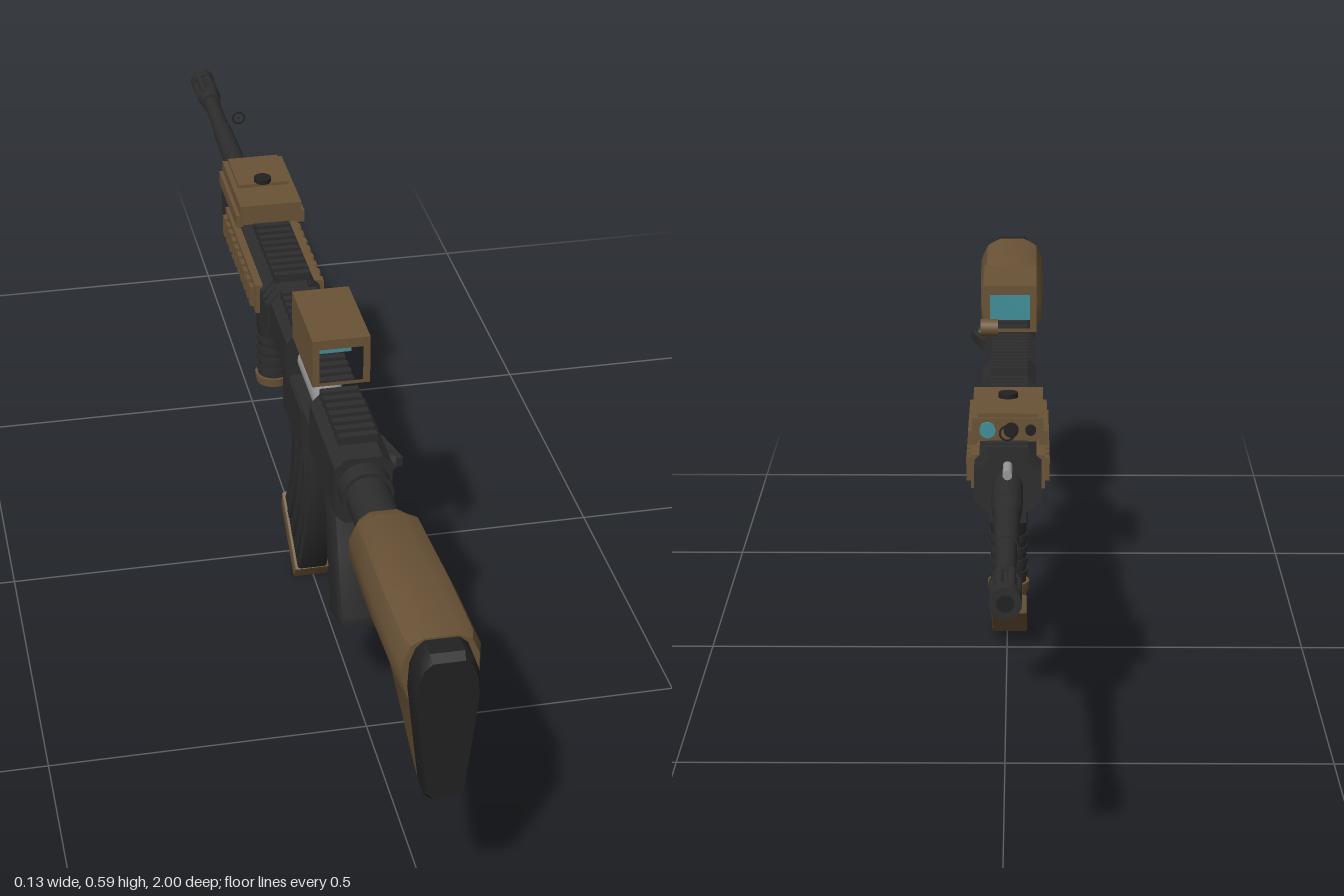
import * as THREE from 'three';
import { toCreasedNormals } from 'three/addons/utils/BufferGeometryUtils.js';

const mat = (name, color, side = THREE.FrontSide) => {
  const m = new THREE.MeshStandardMaterial({ color, side });
  m.name = name;
  return m;
};

export function createModel() {
  const dark = mat('gunmetal', 0x2d2d2e);
  const black = mat('black rubber', 0x212122, THREE.DoubleSide);
  const tan = mat('tan polymer', 0x6a5337);
  const steel = mat('steel', 0x97979a);
  const teal = mat('teal glass', 0x41909a, THREE.DoubleSide);

  const model = new THREE.Group();
  model.name = 'rifle';
  const body = new THREE.Group();
  body.name = 'body';
  body.position.x = -0.004;
  model.add(body);

  const add = (name, geo, material) => {
    const m = new THREE.Mesh(geo, material);
    m.name = name;
    body.add(m);
    return m;
  };
  // box given by its limits on each axis
  const box = (name, material, x0, x1, y0, y1, z0, z1) =>
    add(name, new THREE.BoxGeometry(x1 - x0, y1 - y0, z1 - z0), material)
      .position.set((x0 + x1) / 2, (y0 + y1) / 2, (z0 + z1) / 2);
  // round bar along z, radius r0 at z0 and r1 at z1
  const rod = (name, material, x, y, z0, z1, r0, r1 = r0) =>
    add(name, new THREE.CylinderGeometry(r1, r0, z1 - z0, 20).rotateX(Math.PI / 2), material)
      .position.set(x, y, (z0 + z1) / 2);
  // side profile of [z, y] points, extruded across x with a bevel
  const slab = (name, material, pts, half, bevel = 0) => {
    const shape = new THREE.Shape(pts.map(p => new THREE.Vector2(p[0], p[1])));
    const geo = new THREE.ExtrudeGeometry(shape, {
      depth: 2 * (half - bevel), bevelEnabled: bevel > 0, bevelThickness: bevel,
      bevelSize: bevel, bevelOffset: -bevel, bevelSegments: 2,
    });
    geo.translate(0, 0, bevel - half).rotateY(-Math.PI / 2);
    return add(name, toCreasedNormals(geo, 0.6), material);
  };
  // closed solid through cross-sections, z rising, points counter-clockwise
  const loft = (name, material, sections, crease = 0.6) => {
    const pos = [];
    const n = sections[0].pts.length;
    const put = (s, j) => pos.push(s.pts[j % n][0], s.pts[j % n][1], s.z);
    for (let i = 0; i + 1 < sections.length; i++) {
      const a = sections[i], b = sections[i + 1];
      for (let j = 0; j < n; j++) {
        put(a, j); put(a, j + 1); put(b, j + 1);
        put(a, j); put(b, j + 1); put(b, j);
      }
    }
    const first = sections[0], last = sections[sections.length - 1];
    for (let j = 1; j + 1 < n; j++) {
      put(first, 0); put(first, j + 1); put(first, j);
      put(last, 0); put(last, j); put(last, j + 1);
    }
    const geo = new THREE.BufferGeometry();
    geo.setAttribute('position', new THREE.Float32BufferAttribute(pos, 3));
    return add(name, toCreasedNormals(geo, crease), material);
  };
  // full outline from its right half, bottom to top
  const mirror = half => [...half, ...half.map(([x, y]) => [-x, y]).reverse()];
  // chamfered block running along z
  const bar = (name, material, w, y0, y1, c, z0, z1) => {
    const pts = mirror([[w - c, y0], [w, y0 + c], [w, y1 - c], [w - c, y1]]);
    return loft(name, material, [{ z: z0, pts }, { z: z1, pts }]);
  };

  // Shoulder stock: wide rounded cheek tube over a thinner blade
  const stock = (z, top, bottom, w, blade) => ({
    z, pts: mirror([[blade * 0.6, bottom], [blade, bottom + 0.012],
      [blade + 0.012, Math.max(top - 0.11, bottom + 0.014)], [w, top - 0.065],
      [w, top - 0.035], [w * 0.8, top - 0.01], [w * 0.45, top]]),
  });
  loft('stock', tan, [
    stock(0.605, 0.476, 0.398, 0.044, 0.027), stock(0.63, 0.485, 0.385, 0.056, 0.03),
    stock(0.8, 0.497, 0.325, 0.06, 0.028), stock(0.935, 0.505, 0.268, 0.06, 0.029),
    stock(0.957, 0.505, 0.262, 0.053, 0.029),
  ]);
  const pad = (z, s) => ({
    z, pts: mirror([[0.019, 0.258], [0.028, 0.268], [0.035, 0.33], [0.046, 0.43],
      [0.044, 0.468], [0.036, 0.491], [0.024, 0.502]])
      .map(([x, y]) => [x * s, 0.38 + (y - 0.38) * s]),
  });
  loft('buttPad', black, [pad(0.957, 1), pad(0.988, 1), pad(1, 0.93)]);
  rod('bufferTube', dark, 0, 0.436, 0.46, 0.62, 0.034);
  rod('bufferCollar', dark, 0, 0.436, 0.47, 0.505, 0.04);

  // Receiver with the exposed bolt between its two blocks
  bar('rearReceiver', dark, 0.044, 0.372, 0.484, 0.016, 0.283, 0.475);
  bar('frontReceiver', dark, 0.044, 0.39, 0.485, 0.016, -0.04, 0.095);
  bar('receiverFloor', dark, 0.038, 0.398, 0.41, 0.003, 0.08, 0.29);
  rod('bolt', steel, 0, 0.436, 0.09, 0.29, 0.026);
  bar('magazineWell', dark, 0.04, 0.318, 0.408, 0.006, 0.042, 0.203);
  const knob = add('leverPivot', new THREE.CylinderGeometry(0.016, 0.018, 0.016, 20).rotateZ(-Math.PI / 2), dark);
  knob.position.set(0.05, 0.44, 0.425);
  const lever = add('lever', new THREE.BoxGeometry(0.012, 0.016, 0.07), dark);
  lever.position.set(0.056, 0.44, 0.395);
  lever.rotation.y = 0.25;

  // Pistol grip with finger grooves
  slab('pistolGrip', dark, [[0.425, 0.378], [0.335, 0.378], [0.335, 0.355], [0.35, 0.33], [0.352, 0.31],
    [0.366, 0.285], [0.366, 0.262], [0.381, 0.238], [0.381, 0.215], [0.394, 0.19], [0.39, 0.152],
    [0.482, 0.18], [0.486, 0.2], [0.45, 0.3], [0.435, 0.345]], 0.036, 0.012);

  // Trigger and its guard
  const path = (...p) => new THREE.CatmullRomCurve3(p.map(([z, y]) => new THREE.Vector3(0, y, z)));
  add('triggerGuard', new THREE.TubeGeometry(
    path([0.345, 0.36], [0.318, 0.335], [0.285, 0.318], [0.245, 0.32], [0.225, 0.34], [0.22, 0.37]), 24, 0.006, 8), dark);
  add('trigger', new THREE.TubeGeometry(
    path([0.295, 0.385], [0.288, 0.36], [0.277, 0.34], [0.265, 0.333]), 12, 0.006, 8), dark);

  // Curved magazine; strips between its rear and front edges make the ribs
  const curve = (...p) => new THREE.QuadraticBezierCurve(...p.map(q => new THREE.Vector2(...q)));
  const rear = curve([0.19, 0.33], [0.185, 0.17], [0.09, 0.022]);
  const front = curve([0.045, 0.33], [0.045, 0.19], [-0.025, 0.1]);
  const magazine = (name, material, f0, f1, t0, t1, half, bevel) => {
    const edge = f => Array.from({ length: 11 }, (_, i) => {
      const t = t0 + (t1 - t0) * i / 10;
      return rear.getPoint(t).lerp(front.getPoint(t), f).toArray();
    });
    slab(name, material, [...edge(f0), ...edge(f1).reverse()], half, bevel);
  };
  magazine('magazine', dark, 0, 1, 0, 1, 0.025, 0.005);
  for (const f of [0.1, 0.36, 0.62]) magazine('magazineRib', dark, f, f + 0.13, 0.1, 0.92, 0.029, 0.003);
  slab('magazineBase', tan, [[0.094, 0.026], [0.077, 0.001], [-0.034, 0.074], [-0.027, 0.105]], 0.03, 0.004);

  // Handguard with ribbed ends and tan side panels
  bar('handguard', dark, 0.043, 0.392, 0.484, 0.02, -0.49, -0.03);
  for (const z of [-0.05, -0.072, -0.094, -0.425, -0.447, -0.469])
    bar('handguardRib', dark, 0.05, 0.395, 0.48, 0.02, z - 0.012, z);
  for (const s of [-1, 1]) {
    const panel = (name, a, b, y0, y1, z0, z1) =>
      box(name, tan, Math.min(s * a, s * b), Math.max(s * a, s * b), y0, y1, z0, z1);
    panel('sidePanel', 0.04, 0.056, 0.41, 0.462, -0.408, -0.115);
    for (let i = 0; i < 10; i++)
      panel('sidePanelRib', 0.055, 0.063, 0.418, 0.454, -0.395 + i * 0.028, -0.379 + i * 0.028);
  }

  // Accessory rails: evenly spaced teeth on top and bottom
  const rail = (name, y0, y1, w, z0, z1) => {
    for (let z = z0; z < z1 - 0.01; z += 0.022) box(name, dark, -w, w, y0, y1, z, z + 0.012);
  };
  rail('topRailTooth', 0.483, 0.498, 0.03, -0.488, -0.07);
  rail('topRailTooth', 0.483, 0.498, 0.03, -0.03, 0.09);
  rail('topRailTooth', 0.49, 0.498, 0.03, 0.102, 0.285);
  rail('topRailTooth', 0.483, 0.498, 0.03, 0.29, 0.445);
  rail('bottomRailTooth', 0.378, 0.394, 0.028, -0.48, -0.02);

  // Barrel in steps, then the flash hider
  [[-0.6, -0.49, 0.023, 0.023], [-0.64, -0.6, 0.018, 0.022], [-0.77, -0.64, 0.017, 0.019],
    [-0.91, -0.77, 0.014, 0.015], [-0.92, -0.89, 0.021, 0.018], [-0.985, -0.92, 0.017, 0.017],
    [-1, -0.975, 0.022, 0.022]]
    .forEach(([z0, z1, r0, r1]) => rod('barrel', dark, 0, 0.437, z0, z1, r0, r1));
  for (let i = 0; i < 6; i++) {
    const a = i * Math.PI / 3;
    rod('flashHiderProng', dark, 0.016 * Math.cos(a), 0.437 + 0.016 * Math.sin(a), -0.985, -0.91, 0.006);
  }
  add('bore', new THREE.CircleGeometry(0.012, 16).rotateY(Math.PI), black).position.set(0, 0.437, -1.0005);
  rod('gasTube', steel, 0, 0.47, -0.54, -0.48, 0.007);

  // Foregrip
  rod('foregripMount', dark, 0, 0.437, -0.49, -0.485, 0.03);
  const foregrip = [[0, 0.2], [0.028, 0.2], [0.028, 0.3], [0.03, 0.305], [0.03, 0.358], [0.026, 0.362], [0, 0.362]];
  add('foregrip', toCreasedNormals(new THREE.LatheGeometry(
    foregrip.map(p => new THREE.Vector2(...p)), 20), 0.6), dark).position.z = -0.255;
  for (let y = 0.225; y < 0.3; y += 0.02)
    add('foregripRing', new THREE.CylinderGeometry(0.03, 0.03, 0.01, 20), dark).position.set(0, y, -0.255);
  add('foregripCap', new THREE.CylinderGeometry(0.033, 0.031, 0.016, 20), tan).position.set(0, 0.203, -0.255);

  // Laser unit on the handguard
  box('laserBody', tan, -0.053, 0.053, 0.496, 0.531, -0.45, -0.27);
  box('laserTop', tan, -0.044, 0.044, 0.53, 0.537, -0.445, -0.34);
  for (const s of [-1, 1]) box('laserClamp', tan, s * 0.053 - 0.006, s * 0.053 + 0.006, 0.49, 0.512, -0.45, -0.275);
  add('laserButton', new THREE.CylinderGeometry(0.015, 0.015, 0.008, 20), black).position.set(0, 0.54, -0.35);
  rod('laserLens', teal, 0.03, 0.514, -0.456, -0.449, 0.012);
  rod('laserEmitter', black, -0.005, 0.514, -0.456, -0.449, 0.011);
  rod('laserEmitter', black, -0.034, 0.514, -0.456, -0.449, 0.008);

  // Sight hood: outer shell only, open below and at both ends
  const hood = new THREE.BoxGeometry(0.09, 0.08, 0.16);
  hood.setIndex([...hood.index.array].filter((_, i) => i < 18)); // both sides and the top
  add('sightHood', hood, tan).position.set(0, 0.554, 0.23);
  const frame = new THREE.Shape([[-0.045, 0.514], [0.045, 0.514], [0.045, 0.594], [-0.045, 0.594]]
    .map(p => new THREE.Vector2(...p)));
  frame.holes.push(new THREE.Path([[-0.034, 0.52], [-0.034, 0.578], [0.034, 0.578], [0.034, 0.52]]
    .map(p => new THREE.Vector2(...p))));
  const frameGeo = new THREE.ShapeGeometry(frame);
  add('sightFrame', frameGeo, tan).position.z = 0.31;
  add('sightFrame', frameGeo.clone().rotateY(Math.PI), tan).position.z = 0.15;
  add('sightGlass', new THREE.PlaneGeometry(0.07, 0.06), teal).position.set(0, 0.548, 0.22);
  const dial = add('sightDial', new THREE.CylinderGeometry(0.015, 0.015, 0.03, 20).rotateZ(Math.PI / 2), tan);
  dial.position.set(0.035, 0.523, 0.143);

  // Aiming ring and dot hovering ahead of the sight
  add('aimingRing', new THREE.RingGeometry(0.009, 0.012, 24), black).position.set(0, 0.547, -0.585);
  add('aimingDot', new THREE.CircleGeometry(0.002, 10), black).position.set(0, 0.547, -0.585);
  add('aimingRingFront', new THREE.RingGeometry(0.009, 0.012, 24), black).position.set(0, 0.547, 0.222);

  return model;
}
